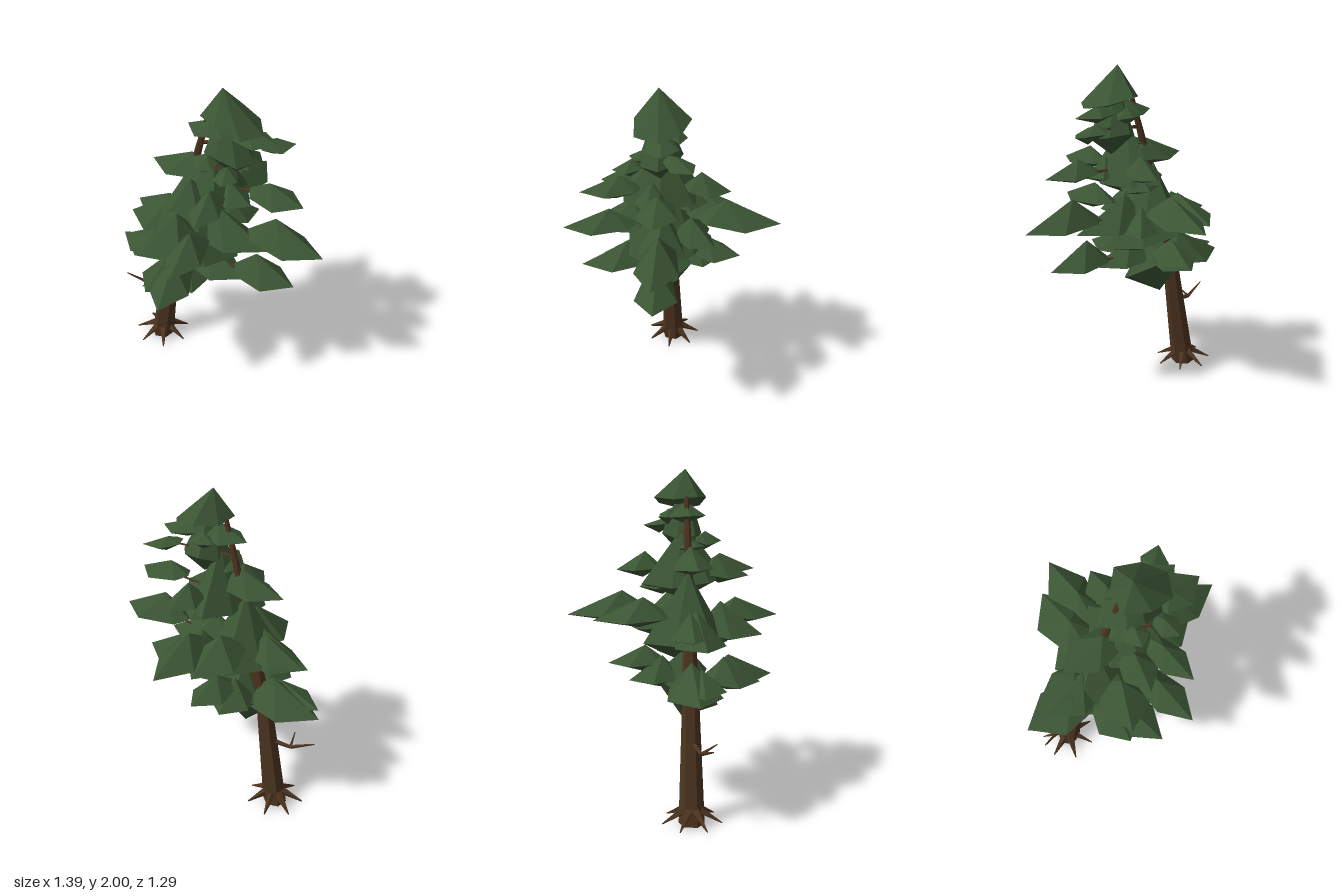
import * as THREE from 'three';

const bark = new THREE.MeshStandardMaterial({ color: 0x4c331f, flatShading: true });
const needles = new THREE.MeshStandardMaterial({ color: 0x3b5534, flatShading: true });
const V = (x, y, z) => new THREE.Vector3(x, y, z);

// Centre line and radius of the leaning trunk
const trunkLine = [
  [-0.44, 0, 0.02, 0.075], [-0.335, 0.68, 0.03, 0.05], [-0.27, 0.93, 0.035, 0.042],
  [-0.165, 1.35, 0.045, 0.028], [-0.1, 1.6, 0.05, 0.021], [-0.03, 1.84, 0.055, 0.014],
];

function trunkAt(y) {
  let i = 0;
  while (i < trunkLine.length - 2 && trunkLine[i + 1][1] < y) i++;
  const a = trunkLine[i], b = trunkLine[i + 1], t = (y - a[1]) / (b[1] - a[1]);
  return V(a[0] + (b[0] - a[0]) * t, y, a[2] + (b[2] - a[2]) * t);
}

function meshFrom(triangles, material, name) {
  const g = new THREE.BufferGeometry().setFromPoints(triangles.flat());
  g.computeVertexNormals();
  const m = new THREE.Mesh(g, material);
  m.name = name;
  return m;
}

// Tapered stick between two points
function stick(a, b, r0, r1, name) {
  const m = new THREE.Mesh(new THREE.CylinderGeometry(r1, r0, a.distanceTo(b), 4), bark);
  m.position.copy(a).lerp(b, 0.5);
  m.quaternion.setFromUnitVectors(V(0, 1, 0), b.clone().sub(a).normalize());
  m.name = name;
  return m;
}

// Closed faceted clump: a rim (anticlockwise from above) joined to a top and a bottom point
function clump(rim, top, bottom, name) {
  const tris = [];
  rim.forEach((p, i) => {
    const q = rim[(i + 1) % rim.length];
    tris.push([p, q, top], [q, p, bottom]);
  });
  return meshFrom(tris, needles, name);
}

// Pointed frond from an inner point to a tip: [innerX, innerZ, tipX, tipZ, rimY, height, halfWidth]
function frond([ix, iz, tx, tz, y, h, w]) {
  const dx = tx - ix, dz = tz - iz, len = Math.hypot(dx, dz);
  const at = (t, s, py) => V(ix + dx * t + dz / len * s, py, iz + dz * t - dx / len * s);
  const rim = [
    at(1, 0, y), at(0.62, w, y), at(0.12, w * 0.65, y + 0.01),
    at(0, 0, y + 0.02), at(0.14, -w * 0.7, y + 0.01), at(0.6, -w * 0.95, y - 0.01),
  ];
  return clump(rim, at(0.37, 0, y + h), at(0.42, 0, y - 0.045), 'frond');
}

// Central mass: [centreX, centreZ, radiusX, radiusZ, rimY, droopX, droopZ], top and bottom points
function core([cx, cz, rx, rz, y, droopX, droopZ], top, bottom, name) {
  const rim = [];
  for (let i = 0; i < 7; i++) {
    const a = i / 7 * Math.PI * 2, k = i % 2 ? 0.92 : 1.04, c = Math.cos(a), s = -Math.sin(a);
    rim.push(V(cx + c * rx * k, y + (i % 3 - 1) * 0.015 - c * droopX - s * droopZ, cz + s * rz * k));
  }
  return clump(rim, V(...top), V(...bottom), name);
}

export function createModel() {
  const model = new THREE.Group();
  model.name = 'leaningConifer';

  // Six-sided trunk
  const rings = trunkLine.map(([x, y, z, r]) => Array.from({ length: 6 }, (_, i) => {
    const a = i / 6 * Math.PI * 2 + 0.3;
    return V(x + Math.cos(a) * r, y, z - Math.sin(a) * r);
  }));
  const sides = [];
  for (let i = 0; i < 6; i++) {
    const j = (i + 1) % 6, end = rings.length - 1;
    for (let k = 0; k < end; k++) {
      const [a, b, c, d] = [rings[k][i], rings[k][j], rings[k + 1][j], rings[k + 1][i]];
      sides.push([a, b, c], [a, c, d]);
    }
    sides.push([rings[0][j], rings[0][i], trunkAt(0)], [rings[end][i], rings[end][j], trunkAt(1.84)]);
  }
  model.add(meshFrom(sides, bark, 'trunk'));

  // Roots
  for (let i = 0; i < 7; i++) {
    const a = i / 7 * Math.PI * 2 + 0.1, c = Math.cos(a), s = Math.sin(a);
    model.add(stick(V(-0.435 + c * 0.04, 0.085, 0.02 + s * 0.04),
      V(-0.44 + c * 0.178, 0.015, 0.02 + s * 0.175), 0.028, 0.004, 'root'));
  }

  // Bare forked twig
  const fork = V(-0.51, 0.435, 0.06);
  model.add(stick(V(-0.38, 0.46, 0.03), fork, 0.018, 0.012, 'twig'));
  model.add(stick(fork, V(-0.65, 0.49, 0.1), 0.013, 0.004, 'twig'));
  model.add(stick(fork, V(-0.49, 0.48, 0.155), 0.01, 0.003, 'twig'));

  // Central foliage masses, from the bottom up
  model.add(
    core([-0.2, 0.03, 0.18, 0.2, 0.72, 0, 0.1], [-0.17, 0.98, 0.04], [-0.22, 0.57, 0.0], 'lowestCore'),
    core([-0.13, 0.04, 0.27, 0.26, 0.98, 0.055, 0], [-0.18, 1.42, 0.04], [-0.03, 0.89, -0.03], 'lowerCore'),
    core([0.0, 0.05, 0.18, 0.26, 1.34, 0, -0.02], [0.0, 1.68, 0.05], [0.0, 1.24, 0.04], 'middleCore'),
    core([0.1, 0.05, 0.145, 0.125, 1.61, 0, 0], [0.07, 1.94, 0.06], [0.11, 1.49, 0.05], 'upperCore'),
    core([0.115, 0.045, 0.175, 0.165, 1.815, 0.025, 0], [0.055, 2.0, 0.06], [0.12, 1.765, 0.06], 'crown'));

  // Fronds in tiers
  const tiers = {
    lowestFronds: [
      [-0.2, 0.03, -0.7, 0.02, 0.75, 0.18, 0.16],
      [-0.25, 0.1, -0.68, 0.05, 0.79, 0.1, 0.13],
      [-0.19, 0.12, -0.08, 0.57, 0.78, 0.14, 0.13],
      [-0.2, 0.12, -0.24, 0.46, 0.77, 0.15, 0.15],
      [-0.2, 0.05, 0.23, 0.09, 0.8, 0.14, 0.13],
      [0.14, 0.06, 0.535, 0.06, 0.845, 0.15, 0.13],
      [-0.16, -0.08, -0.1, -0.42, 0.88, 0.11, 0.12],
      [-0.2, 0.0, -0.22, -0.31, 0.8, 0.14, 0.13],
    ],
    lowerFronds: [
      [-0.12, 0.06, -0.58, 0.08, 1.02, 0.19, 0.15],
      [-0.18, 0.04, -0.57, 0.01, 1.07, 0.13, 0.12],
      [-0.18, 0.04, 0.355, 0.06, 1.035, 0.2, 0.14],
      [0.21, 0.03, 0.695, 0.05, 1.11, 0.16, 0.13],
      [0.0, 0.2, 0.06, 0.64, 1.12, 0.12, 0.11],
      [-0.09, 0.1, -0.24, 0.47, 1.05, 0.19, 0.16],
      [-0.04, -0.14, -0.02, -0.65, 1.16, 0.14, 0.13],
      [-0.17, -0.05, -0.17, -0.51, 1.145, 0.13, 0.16],
      [-0.05, -0.03, 0.13, -0.27, 1.06, 0.14, 0.1],
    ],
    middleFronds: [
      [0.02, 0.06, -0.41, 0.06, 1.44, 0.12, 0.12],
      [0.03, 0.08, 0.27, 0.12, 1.36, 0.11, 0.1],
      [0.22, 0.04, 0.555, 0.05, 1.405, 0.09, 0.12],
      [0.08, 0.15, 0.14, 0.51, 1.4, 0.1, 0.09],
      [-0.03, 0.12, -0.08, 0.42, 1.38, 0.12, 0.11],
      [0.06, -0.08, 0.08, -0.35, 1.41, 0.11, 0.1],
      [0.02, 0.02, 0.03, -0.22, 1.31, 0.13, 0.12],
    ],
    upperFronds: [
      [0.05, 0.06, -0.12, 0.1, 1.55, 0.05, 0.09],
      [0.15, 0.14, 0.19, 0.31, 1.57, 0.06, 0.07],
      [0.02, 0.1, -0.01, 0.24, 1.57, 0.05, 0.07],
      [0.22, 0.0, 0.4, -0.15, 1.66, 0.04, 0.08],
      [0.1, 0.05, 0.37, 0.02, 1.73, 0.06, 0.1],
      [0.13, 0.06, -0.17, 0.05, 1.73, 0.08, 0.11],
      [0.06, 0.0, 0.06, -0.1, 1.72, 0.05, 0.08],
    ],
  };
  for (const [name, fronds] of Object.entries(tiers)) {
    const tier = new THREE.Group();
    tier.name = name;
    for (const f of fronds) {
      tier.add(frond(f));
      // Branch out to each frond standing clear of the trunk
      const [ix, iz, tx, tz, y] = f;
      const root = trunkAt(y - 0.03);
      if (Math.hypot(ix - root.x, iz - root.z) > 0.27) {
        tier.add(stick(root, V(ix + (tx - ix) * 0.35, y + 0.01, iz + (tz - iz) * 0.35),
          0.012, 0.006, 'branch'));
      }
    }
    model.add(tier);
  }
  return model;
}
